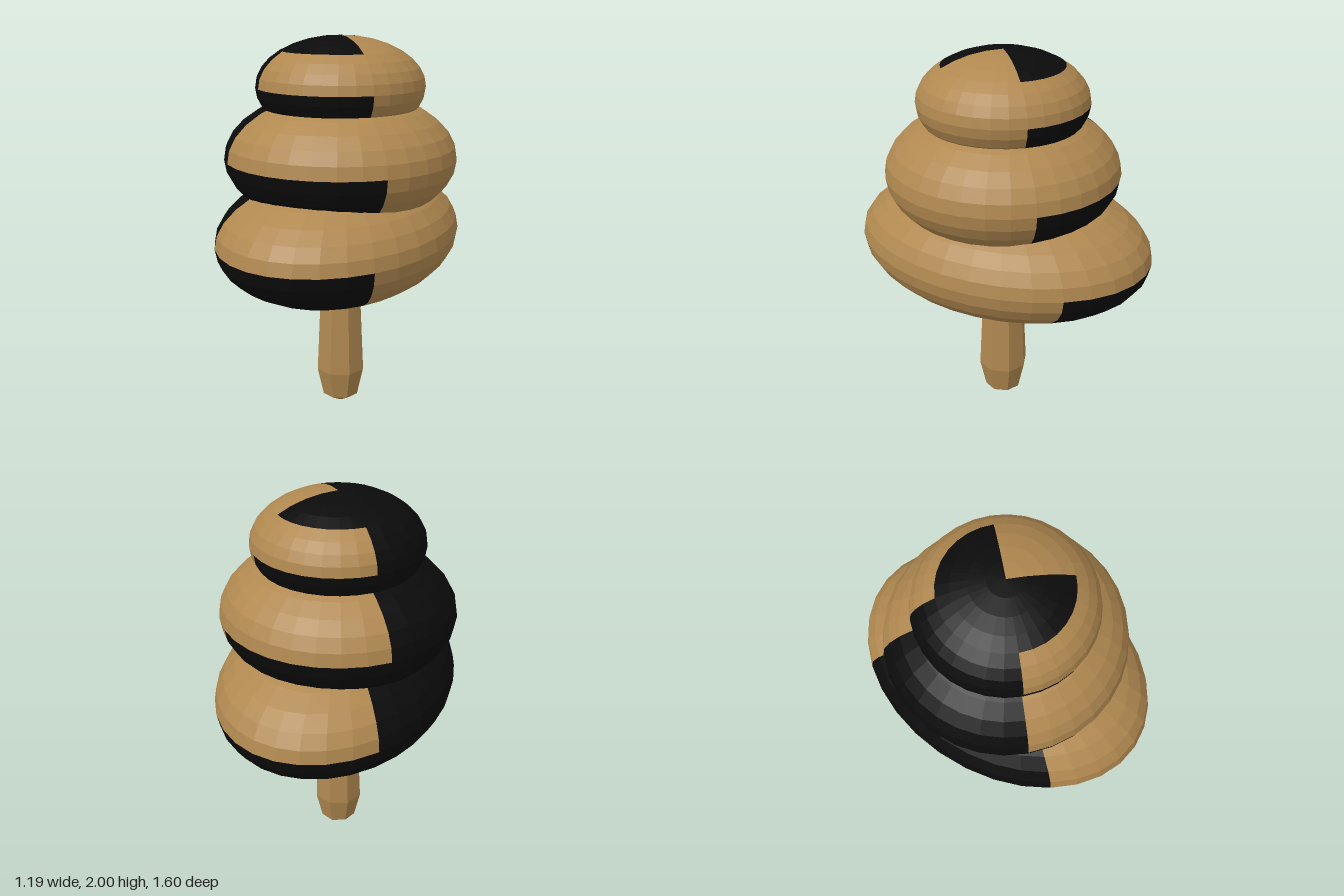
import * as THREE from 'three';

export function createModel() {
  const model = new THREE.Group();
  const tan = new THREE.MeshStandardMaterial({ color: 0xb08850, flatShading: true });
  tan.name = 'tan wood';
  const black = new THREE.MeshStandardMaterial({ color: 0x0b0b0b, flatShading: true });
  black.name = 'black';
  const STEP = Math.PI / 16; // 32 columns, 16 rows on a full ellipsoid

  // Patch of an ellipsoid; columns count from -x, rows from the top
  function patch(group, name, size, material, col, cols, row, rows) {
    const geo = new THREE.SphereGeometry(1, cols, rows, col * STEP, cols * STEP, row * STEP, rows * STEP);
    geo.scale(...size);
    const mesh = new THREE.Mesh(geo, material);
    mesh.name = name;
    group.add(mesh);
  }

  // One bulge: black stripe on the -x side above, tan stripe on the +x side below
  function bulge(name, y, size, capRows) {
    const g = new THREE.Group();
    g.name = name;
    g.position.y = y;
    if (capRows) {
      patch(g, 'capBlack', size, black, -12, 24, 0, capRows);
      patch(g, 'capTan', size, tan, 12, 8, 0, capRows);
    }
    patch(g, 'upperBlack', size, black, -4, 8, capRows, 8 - capRows);
    patch(g, 'upperTan', size, tan, 4, 24, capRows, 8 - capRows);
    patch(g, 'lowerBlack', size, black, -12, 24, 8, 8);
    patch(g, 'lowerTan', size, tan, 12, 8, 8, 8);
    model.add(g);
  }

  bulge('bottomBulge', 1.0, [0.593, 0.335, 0.8], 0);
  bulge('middleBulge', 1.395, [0.593, 0.335, 0.593], 0);
  bulge('topBulge', 1.75, [0.427, 0.25, 0.427], 4);

  // Eight-sided handle with a blunt point
  const profile = [[0, 0], [0.1, 0.06], [0.134, 0.215], [0.11, 0.72]];
  const handle = new THREE.Mesh(
    new THREE.LatheGeometry(profile.map(([r, y]) => new THREE.Vector2(r, y)), 8), tan);
  handle.name = 'handle';
  model.add(handle);

  return model;
}
